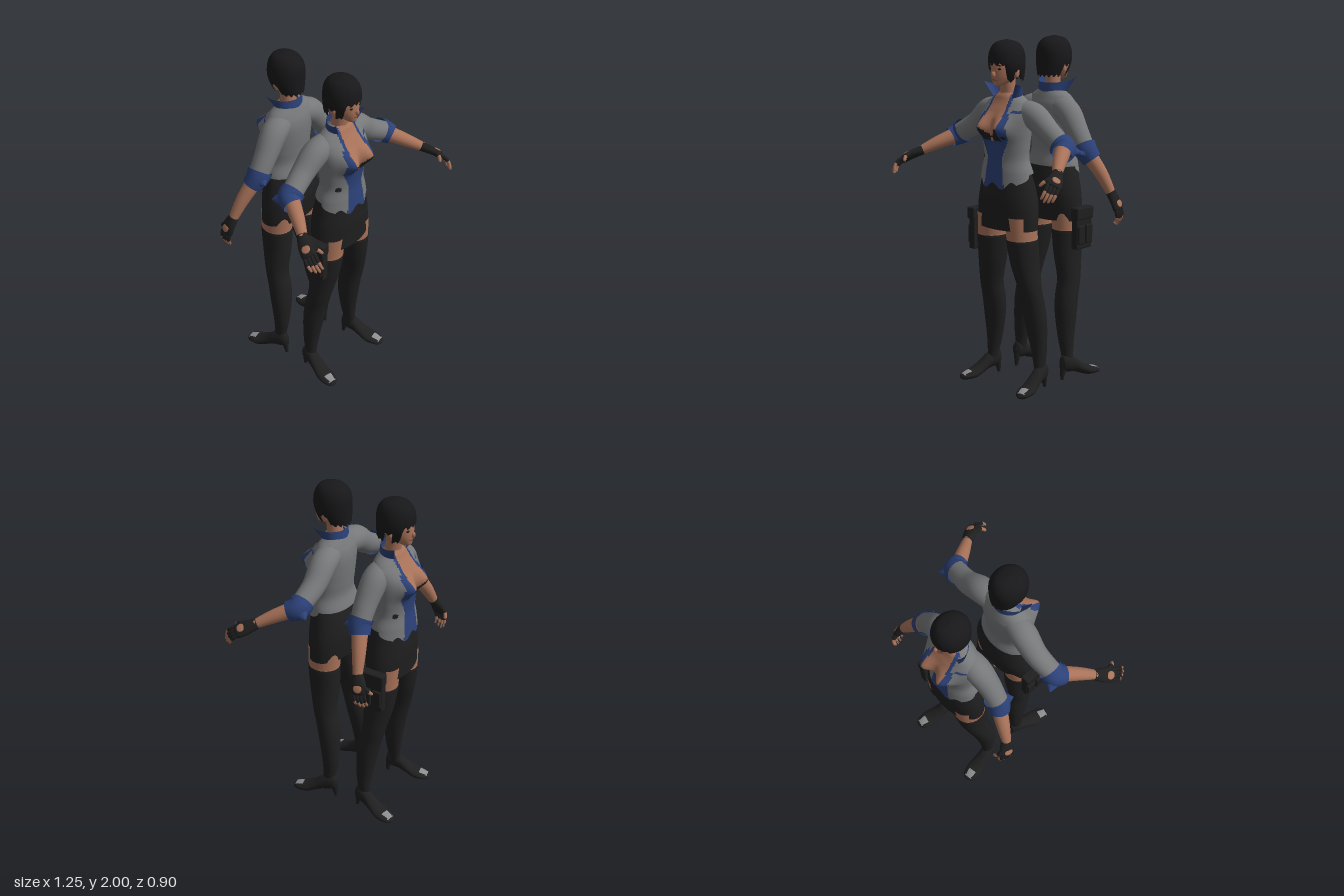
import * as THREE from 'three';
import { RoundedBoxGeometry } from 'three/addons/geometries/RoundedBoxGeometry.js';

const mat = (name, color, open) => {
  const m = new THREE.MeshStandardMaterial({ color });
  m.name = name;
  if (open) m.side = THREE.DoubleSide;
  return m;
};
const M = {
  grey: mat('jacketGrey', 0x77787a, true),
  blue: mat('shirtBlue', 0x2c4178, true),
  black: mat('clothBlack', 0x1f1f20, true),
  hair: mat('hairBlack', 0x18181a, true),
  skin: mat('skin', 0xa87259),
  lip: mat('lipRed', 0x7d4038),
  toe: mat('toeGrey', 0x8c8c8e),
};
const V = (x, y, z) => new THREE.Vector3(x, y, z);

// Smooth interpolation of table rows by their first column
function at(rows, key) {
  const n = rows.length - 1;
  let i = 0;
  while (i < n - 1 && key > rows[i + 1][0]) i++;
  const f = THREE.MathUtils.clamp((key - rows[i][0]) / (rows[i + 1][0] - rows[i][0]), 0, 1);
  const a = rows[Math.max(i - 1, 0)], b = rows[i], c = rows[i + 1], d = rows[Math.min(i + 2, n)];
  return b.map((_, k) => b[k] + 0.5 * f * (c[k] - a[k] + f * (2 * a[k] - 5 * b[k] + 4 * c[k] - d[k]
    + f * (3 * (b[k] - c[k]) + d[k] - a[k]))));
}

// Closed-around surface from point(angle, v); paint(centre) picks the material of each quad
function surface(name, point, nu, nv, paint) {
  const pos = [], lists = new Map();
  for (let j = 0; j <= nv; j++) for (let i = 0; i < nu; i++) {
    let a = (i / nu) * Math.PI * 2;
    if (a > Math.PI) a -= Math.PI * 2;
    pos.push(point(a, j / nv));
  }
  for (let j = 0; j < nv; j++) for (let i = 0; i < nu; i++) {
    const a = j * nu + i, b = j * nu + (i + 1) % nu, c = b + nu, d = a + nu;
    const mid = V(0, 0, 0).add(pos[a]).add(pos[b]).add(pos[c]).add(pos[d]).multiplyScalar(0.25);
    const m = paint.isMaterial ? paint : paint(mid, j / nv);
    if (!lists.has(m)) lists.set(m, []);
    lists.get(m).push(a, b, c, a, c, d);
  }
  const g = new THREE.BufferGeometry().setFromPoints(pos), index = [], mats = [...lists.keys()];
  mats.forEach((m, k) => {
    g.addGroup(index.length, lists.get(m).length, k);
    for (const q of lists.get(m)) index.push(q);
  });
  g.setIndex(index);
  g.computeVertexNormals();
  const mesh = new THREE.Mesh(g, mats.length > 1 ? mats : mats[0]);
  mesh.name = name;
  return mesh;
}

// Upright body: rows of [y, cx, cz, rx, rz]
function loft(name, rows, paint, nu = 32, nv = 30) {
  const y0 = rows[0][0], y1 = rows[rows.length - 1][0];
  return surface(name, (a, v) => {
    const [y, cx, cz, rx, rz] = at(rows, y0 + (y1 - y0) * v);
    return V(cx + Math.sin(a) * rx, y, cz + Math.cos(a) * rz);
  }, nu, nv, paint);
}

// Local frame of a limb heading along T; U is the outer side
function frame(T, s) {
  const t = T.clone().normalize(), ref = V(0.6 * s, 0.8, 0);
  const U = ref.addScaledVector(t, -ref.dot(t)).normalize();
  return { T: t, U, S: t.clone().cross(U) };
}
// Swept limb: rows of [x, y, z, width, thickness]
function limb(name, pts, s, paint, nu = 16, nv = 16) {
  const rows = pts.map((p, i) => [i, ...p]), n = rows.length - 1;
  return surface(name, (a, v) => {
    const [, x, y, z, w, h] = at(rows, v * n);
    const p = at(rows, Math.max(v * n - 0.1, 0)), q = at(rows, Math.min(v * n + 0.1, n));
    const { U, S } = frame(V(q[1] - p[1], q[2] - p[2], q[3] - p[3]), s);
    return V(x, y, z).addScaledVector(S, Math.sin(a) * Math.max(w, 0)).addScaledVector(U, Math.cos(a) * Math.max(h, 0));
  }, nu, nv, paint);
}
function blob(name, m, x, y, z, sx, sy, sz) {
  const b = new THREE.Mesh(new THREE.SphereGeometry(1, 16, 12), m);
  b.name = name;
  b.position.set(x, y, z);
  b.scale.set(sx, sy, sz);
  return b;
}

// Jacket, shirt and open neckline on one body surface
const TORSO = [[1.18, .09, .184, .126], [1.27, .095, .167, .114], [1.34, .1, .146, .102], [1.42, .1, .15, .108],
  [1.5, .1, .16, .115], [1.57, .095, .167, .112], [1.62, .085, .165, .095], [1.66, .08, .135, .075],
  [1.69, .08, .088, .062], [1.71, .08, .055, .048]];
function torsoPaint(p) {
  const x = Math.abs(p.x), y = p.y;
  if (p.z < 0.1) return M.grey;
  if (Math.hypot(p.x + 0.11, y - 1.35) < 0.014 || Math.hypot(p.x - 0.085, y - 1.47) < 0.012) return M.black;
  if (Math.abs(p.x - 0.125) < 0.025 && Math.abs(y - 1.61) < 0.008) return M.blue;
  const open = y > 1.58 ? 0.065 - (y - 1.58) * 0.1 : 0.07;
  if (y > 1.45) {
    if (x < open) return y < 1.475 + 0.75 * x && !(x < 0.01 && y < 1.465) ? M.black : M.skin;
    return x < open + (y > 1.6 ? 0.02 : 0.035) ? M.blue : M.grey;
  }
  return x < Math.max(0.055 + (1.35 - y) * 0.13, 0.052 + (y - 1.35) * 0.45) ? M.blue : M.grey;
}
function torso() {
  return surface('jacketAndShirt', (a, v) => {
    const front = Math.max(Math.cos(a), 0);
    const hem = 1.26 - 0.065 * Math.pow(front, 0.5) + (front > 0.6 ? 0.018 * Math.cos(a * 9) : 0);
    const y = hem + (1.71 - hem) * v, [, cz, rx, rz] = at(TORSO, y), x = Math.sin(a) * rx;
    const bust = 0.06 * Math.exp(-(((Math.abs(x) - 0.07) / 0.048) ** 2) - ((y - 1.52) / 0.055) ** 2);
    return V(x, y, cz + Math.cos(a) * rz + (front > 0 ? bust * Math.min(1, front * 2) : 0));
  }, 112, 70, torsoPaint);
}

// Stand-up collar, a strip with two raised front points
function collar() {
  const pos = [], index = [], n = 28;
  for (let i = 0; i <= n; i++) {
    const t = (i / n) * 2 - 1, a = Math.PI + t * 2.35, k = Math.pow(Math.abs(t), 3);
    pos.push(Math.sin(a) * 0.085, 1.675 - 0.01 * k, 0.08 + Math.cos(a) * 0.066);
    pos.push(Math.sin(a) * (0.075 + 0.095 * k), 1.735 + 0.03 * k, 0.085 + Math.cos(a) * (0.066 + 0.035 * k));
    if (i < n) index.push(2 * i, 2 * i + 2, 2 * i + 3, 2 * i, 2 * i + 3, 2 * i + 1);
  }
  const g = new THREE.BufferGeometry();
  g.setAttribute('position', new THREE.Float32BufferAttribute(pos, 3));
  g.setIndex(index);
  g.computeVertexNormals();
  const m = new THREE.Mesh(g, M.blue);
  m.name = 'collar';
  return m;
}

function head() {
  const g = new THREE.Group();
  g.name = 'head';
  g.add(loft('neck', [[1.64, 0, .08, .055, .05], [1.7, 0, .085, .046, .045], [1.79, 0, .095, .043, .045]], M.skin, 24, 8));
  g.add(loft('face', [[1.743, 0, .165, 0, 0], [1.75, 0, .16, .022, .03], [1.775, 0, .13, .048, .066], [1.81, 0, .113, .067, .087],
    [1.86, 0, .108, .074, .09], [1.92, 0, .1, .07, .085], [1.96, 0, .1, .03, .04]], M.skin, 36, 30));
  // Short hair with a fringe, cheek locks and gaps at the ears
  const H = [[1.76, .075, .07, .082], [1.8, .088, .086, .097], [1.86, .098, .1, .107], [1.92, .098, .095, .106],
    [1.96, .098, .079, .09], [1.985, .1, .053, .062], [2, .1, 0, 0]];
  g.add(surface('hair', (a, v) => {
    const b = Math.abs(a), jag = 0.008 * Math.sin(a * 18);
    const hem = (b < 0.72 ? 1.868 : b < 1.22 ? 1.777 : b < 1.7 ? 1.832 : 1.778) + jag;
    const [y, cz, rx, rz] = at(H, hem + (2 - hem) * Math.sin(v * Math.PI / 2));
    return V(Math.sin(a) * rx, y, cz + Math.cos(a) * rz);
  }, 90, 24, M.hair));
  g.add(blob('nose', M.skin, 0, 1.812, 0.2, 0.011, 0.018, 0.016));
  g.add(blob('lips', M.lip, 0, 1.783, 0.191, 0.02, 0.006, 0.009));
  for (const s of [1, -1]) {
    g.add(blob('eye', M.hair, 0.031 * s, 1.843, 0.188, 0.015, 0.006, 0.006));
    g.add(blob('eyebrow', M.hair, 0.032 * s, 1.862, 0.19, 0.018, 0.003, 0.005));
    g.add(blob('ear', M.skin, 0.08 * s, 1.82, 0.1, 0.01, 0.028, 0.018));
  }
  return g;
}

// Arm: pose holds sleeve, forearm, hand paths and the cuff tip
function arm(pose, s, spread) {
  const g = new THREE.Group();
  g.name = s > 0 ? 'leftArm' : 'rightArm';
  const rows = (pts, radii) => pts.map(([x, y, z], i) => [x * s * spread, y, z, ...[radii[i]].flat(), ...(radii[i].length ? [] : [radii[i]])]);
  g.add(limb('sleeve', rows(pose.sleeve, [.068, .074, .064, .056]), s, M.grey, 24, 20));
  g.add(limb('forearm', rows(pose.fore, [.046, .038, .026]), s, M.skin, 20, 14));
  const e = pose.sleeve[3], w = pose.sleeve[2], f = pose.fore[1];
  const mix = (p, q, t) => p.map((c, k) => c + (q[k] - c) * t);
  g.add(limb('cuff', rows([mix(e, w, .28), e, mix(pose.fore[0], f, .35)], [.07, .066, .056]), s, M.blue, 24, 8));
  g.add(limb('cuffPoint', rows([e, mix(e, pose.tip, .5), pose.tip], [[.05, .045], [.04, .03], [.004, .004]]), s, M.blue, 10, 6));
  const hand = rows([pose.hand[0], ...pose.hand, pose.hand[2]], [[.03, .029], [.031, .027], [.043, .023], [.04, .018], [.0, .0]]);
  g.add(limb('glove', hand, s, M.black, 20, 16));
  // Fingers with gloved bases
  const [p0, p1, p2] = pose.hand.map(([x, y, z]) => V(x * s * spread, y, z));
  const { T, U, S } = frame(p2.clone().sub(p0), s);
  S.multiplyScalar(s);
  const finger = (name, base, dir, len, r) => {
    const step = (t, drop) => base.clone().addScaledVector(dir, len * t).addScaledVector(U, -len * drop).toArray();
    g.add(limb(name, [[...step(0, 0), r, r], [...step(.4, .03), r, r], [...step(.75, .22), r * .85, r * .85],
      [...step(.95, .5), r * .65, r * .65], [...step(.97, .55), 0, 0]], s, (p, v) => (v < 0.35 ? M.black : M.skin), 8, 12));
  };
  for (let k = 0; k < 4; k++) {
    const base = p2.clone().addScaledVector(S, (k - 1.5) * 0.02).addScaledVector(T, -0.012);
    finger('finger', base, T, [.078, .092, .098, .09][k], 0.0105);
  }
  finger('thumb', p1.clone().addScaledVector(S, 0.025), T.clone().addScaledVector(S, 0.7).normalize(), 0.07, 0.0125);
  // Bare patch on the back of the glove
  const patch = blob('glovePatch', M.skin, 0, 0, 0, 0.024, 0.005, 0.024);
  patch.position.copy(p1).lerp(p2, 0.35).addScaledVector(U, 0.021);
  patch.quaternion.setFromUnitVectors(V(0, 1, 0), U);
  g.add(patch);
  return g;
}

function leg(s) {
  const g = new THREE.Group();
  g.name = s > 0 ? 'leftLeg' : 'rightLeg';
  const R = [[.09, .19, .025, .03, .036], [.15, .186, .024, .033, .038], [.25, .177, .022, .047, .049], [.4, .164, .033, .066, .063],
    [.5, .157, .048, .068, .068], [.6, .152, .07, .067, .07], [.75, .128, .085, .077, .089], [.884, .115, .095, .087, .096],
    [.888, .115, .095, .084, .093], [1.02, .105, .095, .09, .1]].map(([y, x, ...r]) => [y, x * s, ...r]);
  g.add(loft('stockingLeg', R, (p) => (p.y > 0.888 ? M.skin : M.black), 28, 78));
  // High-heeled shoe, swept from heel to toe: z, centre y, width, height
  const F = [[-.03, .1, 0, 0], [-.022, .1, .024, .04], [.01, .1, .034, .054], [.06, .085, .037, .047], [.11, .055, .043, .036],
    [.16, .032, .05, .029], [.21, .024, .045, .022], [.24, .018, .028, .015], [.252, .014, 0, 0]];
  const shoe = new THREE.Group();
  shoe.name = 'shoe';
  shoe.add(surface('shoeUpper', (a, v) => {
    const [z, y, w, h] = at(F, -.03 + .282 * v);
    return V(-Math.sin(a) * Math.max(w, 0), y + Math.cos(a) * Math.max(h, 0), z);
  }, 24, 34, (p) => (p.z > .185 && p.z < .235 && Math.abs(p.x) < .022 && p.y > .025 ? M.toe : M.black)));
  const heel = new THREE.Mesh(new THREE.CylinderGeometry(.026, .009, .1, 12), M.black);
  heel.name = 'heel';
  heel.position.set(0, .05, -.014);
  heel.rotation.x = 0.13;
  shoe.add(heel);
  shoe.position.x = .19 * s;
  shoe.rotation.y = .19 * s;
  g.add(shoe);
  return g;
}

// Thigh pouch on the right side
function pouch() {
  const g = new THREE.Group();
  g.name = 'thighPouch';
  const box = (name, w, h, d, x, y, z) => {
    const m = new THREE.Mesh(new RoundedBoxGeometry(w, h, d, 2, 0.008), M.black);
    m.name = name;
    m.position.set(x, y, z);
    g.add(m);
  };
  box('pouchBody', .045, .24, .13, -.222, .905, .1);
  box('pouchLid', .055, .07, .14, -.226, .995, .1);
  for (const z of [.068, .132]) box('pouchPocket', .03, .11, .055, -.242, .87, z);
  return g;
}

function figure(name, pose, spread) {
  const g = new THREE.Group();
  g.name = name;
  g.add(head(), collar(), torso(), pouch());
  g.add(loft('skirt', [[.945, 0, .095, .207, .115], [1.02, 0, .09, .207, .122], [1.1, 0, .088, .199, .127], [1.18, 0, .09, .181, .12],
    [1.24, 0, .095, .165, .108], [1.3, 0, .1, .14, .095]], M.black, 48, 20));
  for (const s of [1, -1]) g.add(leg(s), arm(pose, s, s > 0 ? 1 : spread));
  return g;
}

export function createModel() {
  const model = new THREE.Group();
  model.name = 'backToBackPair';
  const raised = {
    sleeve: [[.07, 1.6, .07], [.17, 1.585, .06], [.28, 1.505, .055], [.41, 1.43, .075]],
    fore: [[.41, 1.425, .085], [.475, 1.38, .185], [.535, 1.335, .27]],
    hand: [[.53, 1.338, .262], [.565, 1.312, .315], [.588, 1.288, .36]],
    tip: [.46, 1.41, -.005],
  };
  const lowered = {
    sleeve: [[.07, 1.6, .07], [.155, 1.57, .06], [.24, 1.47, .05], [.31, 1.37, .05]],
    fore: [[.315, 1.36, .055], [.395, 1.245, .09], [.455, 1.135, .115]],
    hand: [[.452, 1.14, .114], [.475, 1.09, .13], [.488, 1.045, .14]],
    tip: [.34, 1.36, -.03],
  };
  const back = figure('backFigure', lowered, 0.94);
  back.rotation.y = Math.PI;
  back.position.z = -0.19;
  model.add(figure('frontFigure', raised, 1), back);
  return model;
}
